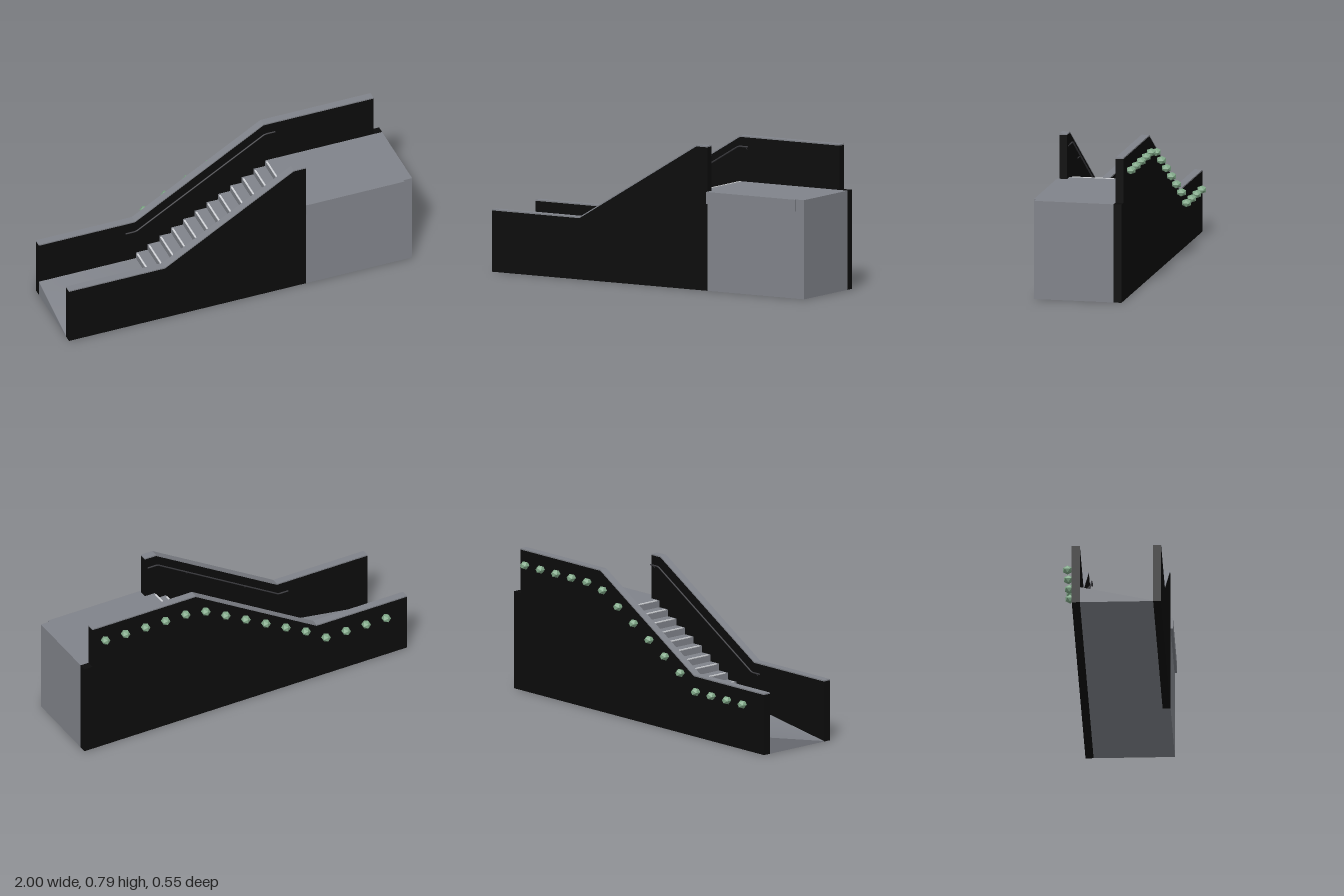
import * as THREE from 'three';

const mat = (name, color, flatShading = false) => {
  const m = new THREE.MeshStandardMaterial({ color, flatShading });
  m.name = name;
  return m;
};

export function createModel() {
  const concrete = mat('concrete grey', 0x80838a);
  const black = mat('wall black', 0x0c0c0c);
  const metal = mat('rail dark grey', 0x3a3a3e);
  const strip = mat('nosing light grey', 0xd2d4d8);
  const green = mat('shrub green', 0x80a888, true);

  const group = new THREE.Group();
  const add = (name, geometry, material, parent = group) => {
    const mesh = new THREE.Mesh(geometry, material);
    mesh.name = name;
    parent.add(mesh);
    return mesh;
  };
  // Box given by its limits on each axis
  const block = (name, x0, x1, y0, y1, z0, z1, material, parent) => {
    const mesh = add(name, new THREE.BoxGeometry(x1 - x0, y1 - y0, z1 - z0), material, parent);
    mesh.position.set((x0 + x1) / 2, (y0 + y1) / 2, (z0 + z1) / 2);
    return mesh;
  };
  // Side profile in x/y, extruded from z0 to z1
  const slab = (name, points, z0, z1, material) => {
    const shape = new THREE.Shape(points.map(p => new THREE.Vector2(p[0], p[1])));
    const geometry = new THREE.ExtrudeGeometry(shape, { depth: z1 - z0, bevelEnabled: false });
    geometry.translate(0, 0, z0);
    return add(name, geometry, material);
  };

  const backZ = -0.178, frontZ = 0.219, landingY = 0.542, floorY = 0.09;

  // Side walls with thin copings; the back one runs on past the landing
  const crest = end => [[-1, 0.335], [-0.44, 0.335], [0.31, 0.784], [end, 0.784]];
  const coping = end => [...crest(end), ...crest(end).reverse().map(([x, y]) => [x, y + 0.007])];
  slab('frontWall', [[-1, 0], ...crest(0.38), [0.38, 0]], frontZ, 0.262, black);
  slab('frontCoping', coping(0.38), frontZ, 0.262, concrete);
  slab('backWall', [[-1, 0], ...crest(0.95), [0.95, landingY], [1, landingY], [1, 0]], -0.222, backZ, black);
  slab('backCoping', coping(0.95), -0.222, backZ, concrete);

  // Upper landing block and its front ledge
  block('landing', 0.38, 1, 0, landingY, backZ, 0.262, concrete);
  block('landingLedge', 0.38, 0.95, 0.477, landingY, 0.262, 0.275, concrete);

  // Stair flight
  const steps = 12, run = 0.0685, firstX = -0.435;
  const rise = (landingY - floorY) / steps;
  const profile = [[firstX, 0], [firstX, floorY]];
  for (let i = 0; i < steps; i++) {
    const x = firstX + i * run, y = floorY + (i + 1) * rise;
    profile.push([x, y], [i < steps - 1 ? x + run : 0.38, y]);
    block('stepNosing', x - 0.001, x + 0.008, y - 0.002, y + 0.003, -0.162, 0.203, strip);
  }
  profile.push([0.38, 0]);
  slab('stairs', profile, backZ, frontZ, concrete);

  // Lower floor, twisted so that its outer front corner drops to the ground
  const floorGeo = new THREE.BoxGeometry(1 + firstX, floorY, frontZ - backZ, 8, 1, 8);
  floorGeo.translate((firstX - 1) / 2, floorY / 2, (frontZ + backZ) / 2);
  const pos = floorGeo.attributes.position;
  for (let i = 0; i < pos.count; i++) {
    if (pos.getY(i) < 0.01) continue;
    const u = (firstX - pos.getX(i)) / (1 + firstX);
    const v = (pos.getZ(i) - backZ) / (frontZ - backZ);
    pos.setY(i, floorY - (floorY - 0.003) * u * v);
  }
  floorGeo.computeVertexNormals();
  add('lowerFloor', floorGeo, concrete);

  // Handrails on wall brackets
  const railPoints = [[-0.5, 0.285], [-0.44, 0.285], [0.31, 0.735], [0.37, 0.735]];
  const railY = x => 0.285 + 0.6 * (THREE.MathUtils.clamp(x, -0.44, 0.31) + 0.44);
  for (const [side, z, wallZ] of [['front', 0.203, frontZ], ['back', -0.162, backZ]]) {
    const rail = new THREE.Group();
    rail.name = side + 'Handrail';
    group.add(rail);
    const path = new THREE.CurvePath();
    const pts = railPoints.map(([x, y]) => new THREE.Vector3(x, y, z));
    for (let i = 0; i < 3; i++) path.add(new THREE.LineCurve3(pts[i], pts[i + 1]));
    add('railTube', new THREE.TubeGeometry(path, 60, 0.0042, 8), metal, rail);
    for (const [i, x] of [-0.5, 0.37].entries()) {
      const cap = add('railEnd', new THREE.CircleGeometry(0.0042, 8), metal, rail);
      cap.position.set(x, railY(x), z);
      cap.rotation.y = i ? Math.PI / 2 : -Math.PI / 2;
    }
    for (const x of [-0.47, -0.24, 0.12, 0.355]) {
      const arm = new THREE.LineCurve3(
        new THREE.Vector3(x, railY(x) - 0.016, wallZ), new THREE.Vector3(x, railY(x), z));
      add('railBracket', new THREE.TubeGeometry(arm, 1, 0.0025, 6), metal, rail);
    }
  }

  // Row of small shrubs following the back wall
  const shrubGeo = new THREE.IcosahedronGeometry(0.0285, 0);
  shrubGeo.scale(0.9, 0.84, 1);
  for (let i = 0; i < 15; i++) {
    const y = i < 4 ? 0.261 : i < 10 ? 0.344 + 0.069 * (i - 4) : 0.712;
    add('shrub', shrubGeo, green).position.set(-0.855 + 0.1243 * i, y, -0.25);
  }
  return group;
}
